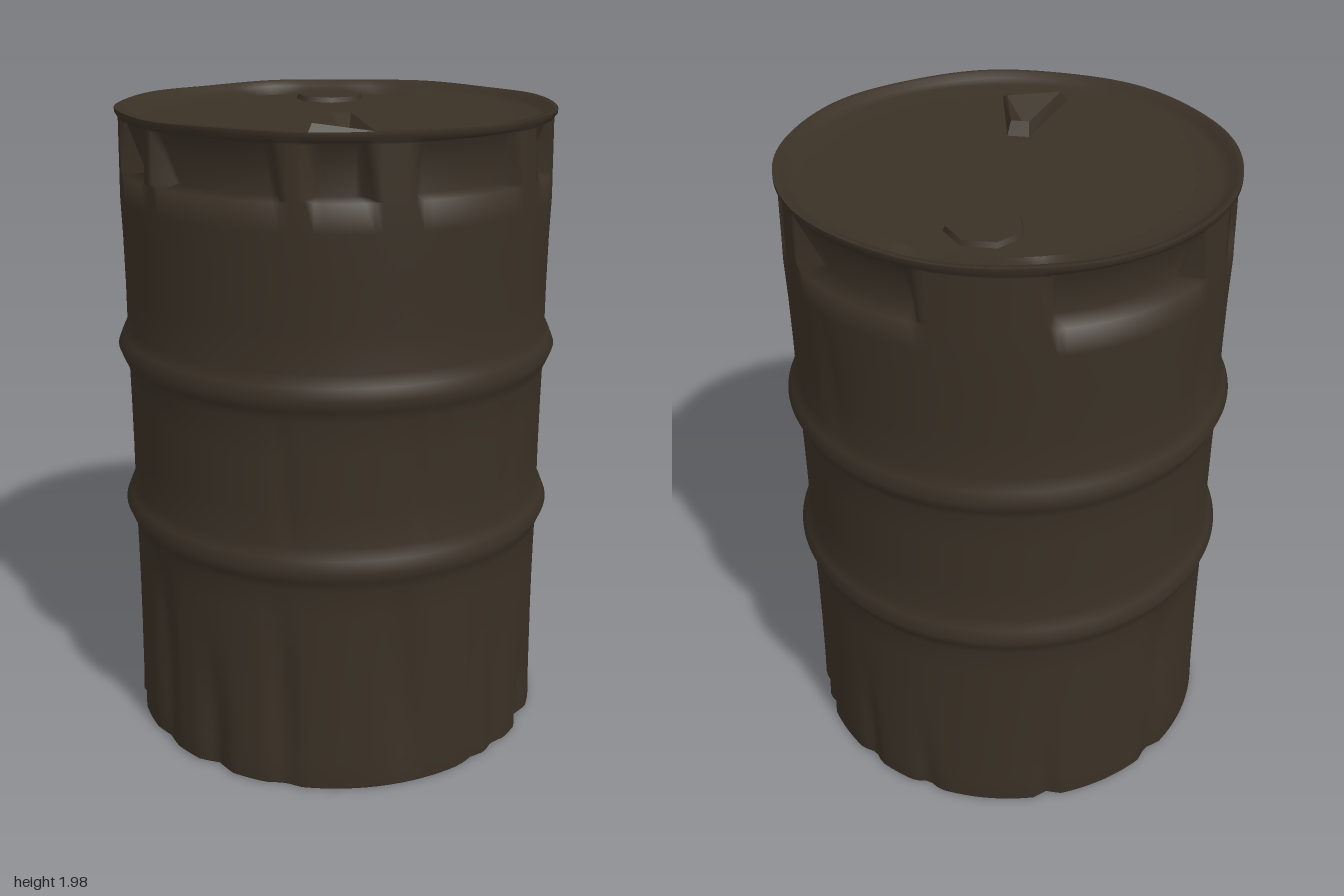
import * as THREE from 'three';
import { mergeVertices } from 'three/addons/utils/BufferGeometryUtils.js';

const metal = new THREE.MeshStandardMaterial({ color: 0x3a3126, side: THREE.DoubleSide });
metal.name = 'dark rusty brown';

const LID = 1.95;
// Recessed panels under the rim: start and end angle in degrees, from the front towards +x
const PANELS = [[-53, -17], [-10, 5], [17, 46], [58, 70], [90, 100], [108, 117],
  [130, 167], [198, 240], [258, 270], [284, 302]];
// Vertical creases in the wall: angle, half width, depth, lowest and highest y
const CREASES = [[-58, 6, 0.025, -0.1, 0.64], [-38, 6, 0.025, -0.3, 0.42], [-17, 5, 0.025, -0.1, 0.62],
  [15, 6, 0.025, 0.05, 0.64], [38, 5, 0.015, -0.2, 0.6], [47, 5, 0.02, -0.2, 0.55], [64, 6, 0.025, -0.3, 0.3],
  [100, 4, 0.02, -0.3, 0.25], [112, 5, 0.02, -0.3, 0.35], [120, 4, 0.015, -0.2, 0.2], [145, 4, 0.02, -0.3, 0.4],
  [165, 4, 0.02, -0.3, 0.25], [200, 4, 0.02, -0.3, 0.25], [235, 5, 0.02, -0.3, 0.25], [279, 5, 0.02, -0.3, 0.25],
  [238, 9, 0.025, 0.28, 0.64], [247, 9, 0.02, 1.35, 1.65], [-16, 4, 0.01, 0.82, 1.18],
  [18, 4, 0.01, 0.82, 1.18], [26, 4, 0.01, 0.82, 1.18], [49, 5, 0.01, 0.82, 1.18], [140, 6, 0.01, 1.35, 1.65]];
// Dents in the edge of the lid: angle, half width, depth
const LID_DENTS = [[163, 12, 0.025], [198, 12, 0.025]];

const angleGap = (a, b) => Math.abs(((a - b + 540) % 360 + 360) % 360 - 180);
const inPanel = (deg) => PANELS.some(([a, b]) => angleGap(deg, (a + b) / 2) < (b - a) / 2);

// Revolve a profile, bend it by a rule (angle in degrees, radius, height) and smooth it
function bentLathe(profile, rule) {
  const geo = new THREE.LatheGeometry(profile.map(([r, y]) => new THREE.Vector2(r, y)), 180);
  geo.deleteAttribute('uv');
  geo.deleteAttribute('normal');
  const p = geo.attributes.position;
  for (let i = 0; i < p.count; i++) {
    const a = Math.atan2(p.getX(i), p.getZ(i));
    const [r, y] = rule(a * 180 / Math.PI, Math.hypot(p.getX(i), p.getZ(i)), p.getY(i));
    p.setXYZ(i, Math.sin(a) * r, y, Math.cos(a) * r);
  }
  const merged = mergeVertices(geo, 1e-4);
  merged.computeVertexNormals();
  return merged;
}

const rimWave = (deg) => {
  const a = deg * Math.PI / 180;
  return 0.004 * Math.sin(5 * a + 1) * Math.sin(3 * a);
};

function wallRule(deg, r, y) {
  // Panels slope inwards towards their lower edge
  if (y > 1.805 && y < 1.955 && inPanel(deg)) r = y < 1.9 ? 0.59 : 0.638;
  for (const [c, w, depth, low, high] of CREASES) {
    const across = angleGap(deg, c) / w;
    const along = Math.abs(y - (low + high) / 2) / ((high - low) / 2);
    if (across < 1 && along < 1) r -= depth * (1 - across) * (1 - along * along);
  }
  return [r, y > 1.96 ? y + rimWave(deg) : y];
}

function lidEdgeRule(deg, r, y) {
  if (r > 0.63) return [r, y + rimWave(deg)];
  if (r > 0.56) {
    for (const [c, w, depth] of LID_DENTS) y -= depth * Math.max(0, 1 - angleGap(deg, c) / w);
  }
  return [r, y];
}

export function createModel() {
  const drum = new THREE.Group();
  drum.name = 'drum';
  const add = (name, geo, x = 0, y = 0, z = 0) => {
    const mesh = new THREE.Mesh(geo, metal);
    mesh.name = name;
    mesh.position.set(x, y, z);
    drum.add(mesh);
  };

  // Wall with two rolled ribs, from the bottom lip to the top rim
  add('wall', bentLathe([[0.62, 0.045], [0.642, 0.012], [0.656, 0.006], [0.664, 0.014], [0.661, 0.1], [0.659, 0.22],
    [0.657, 0.34], [0.656, 0.46], [0.656, 0.58], [0.657, 0.67], [0.672, 0.705], [0.686, 0.74], [0.672, 0.775],
    [0.656, 0.81], [0.655, 0.92], [0.655, 1.08], [0.656, 1.19], [0.672, 1.225], [0.686, 1.26], [0.672, 1.295],
    [0.656, 1.33], [0.655, 1.45], [0.656, 1.6], [0.659, 1.72], [0.657, 1.8], [0.657, 1.808], [0.654, 1.952],
    [0.655, 1.958], [0.664, 1.972], [0.664, 1.984]], wallRule));

  // Rim top and the dished edge of the lid
  add('lidEdge', bentLathe([[0.664, 1.984], [0.646, 1.984], [0.635, 1.966], [0.61, 1.957], [0.57, 1.952], [0.54, LID]],
    lidEdgeRule));

  // Lid with a torn opening near the front: x, z and height of its bent-up corners
  const tear = [[-0.025, 0.25, 1.985], [0.03, 0.25, 1.985], [0.08, 0.49, 1.965], [-0.09, 0.49, 1.988]];
  const lid = new THREE.Shape().absarc(0, 0, 0.54, 0, Math.PI * 2);
  lid.holes.push(new THREE.Path(tear.map(([x, z]) => new THREE.Vector2(x, -z))));
  add('lid', new THREE.ShapeGeometry(lid, 36).rotateX(-Math.PI / 2), 0, LID, 0);

  // Each torn side runs inwards to a low point and outwards down to the lid
  const sides = [];
  const foot = ([x, z]) => [x * 1.2, LID, 0.38 + (z - 0.38) * 1.25];
  tear.forEach(([x, z, y], i) => {
    const next = tear[(i + 1) % tear.length];
    const a = [x, y, z], b = [next[0], next[2], next[1]];
    const fa = foot([x, z]), fb = foot(next);
    sides.push(...a, 0.01, 1.9, 0.41, ...b, ...a, ...b, ...fb, ...a, ...fb, ...fa);
  });
  const torn = new THREE.BufferGeometry();
  torn.setAttribute('position', new THREE.Float32BufferAttribute(sides, 3));
  torn.computeVertexNormals();
  add('tornOpening', torn);

  // Low plug at the back of the lid
  add('rearPlug', new THREE.CylinderGeometry(0.106, 0.112, 0.015, 7), 0, LID + 0.0075, -0.39);

  add('base', new THREE.CircleGeometry(0.622, 36).rotateX(Math.PI / 2), 0, 0.045, 0);
  return drum;
}
